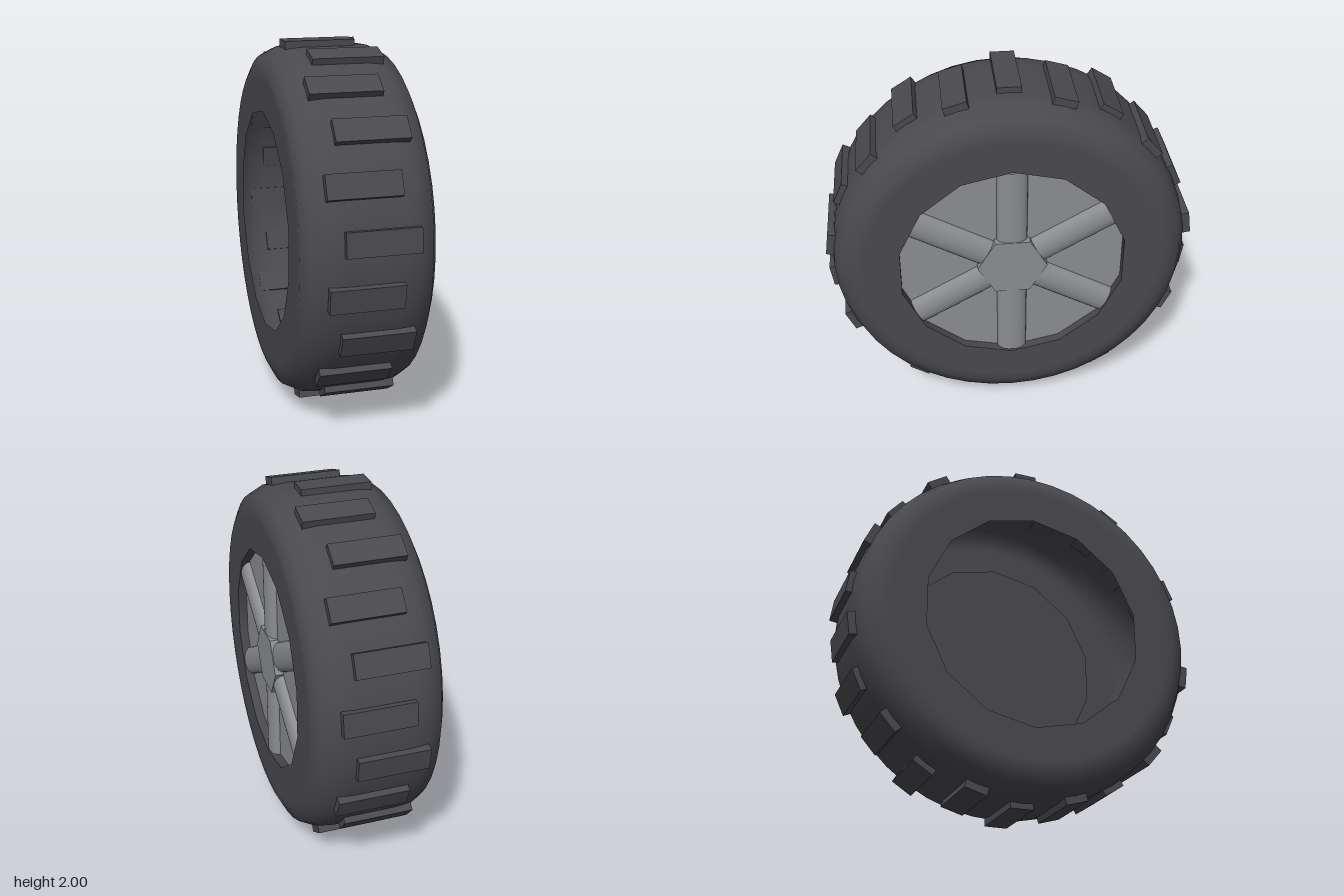
import * as THREE from 'three';

const rubber = new THREE.MeshStandardMaterial({ color: 0x4a494e, side: THREE.DoubleSide });
rubber.name = 'darkRubber';
const metal = new THREE.MeshStandardMaterial({ color: 0x8b8d91 });
metal.name = 'greyMetal';

const HALF = 0.35, HOLE = 0.62, SIDES = 14, SEGMENTS = 44, FACE = 0.3;

function ringPoints(radius, count) {
  return Array.from({ length: count }, (_, i) => {
    const a = (i / count) * Math.PI * 2 + Math.PI / 2;
    return new THREE.Vector2(radius * Math.cos(a), radius * Math.sin(a));
  });
}

export function createModel() {
  const wheel = new THREE.Group();
  wheel.name = 'wheel';
  const add = (name, geometry, material, parent = wheel) => {
    const mesh = new THREE.Mesh(geometry, material);
    mesh.name = name;
    mesh.position.y = 1;
    parent.add(mesh);
    return mesh;
  };

  // Hollow tyre shell with rounded shoulders
  const shoulder = [[0.8, 0.35], [0.85, 0.35], [0.92, 0.315], [0.96, 0.235], [0.97, 0.15]];
  const profile = [
    ...shoulder.map(([r, x]) => new THREE.Vector2(r, -x)),
    ...shoulder.slice().reverse().map(([r, x]) => new THREE.Vector2(r, x)),
  ];
  add('tyreShell', new THREE.LatheGeometry(profile, SEGMENTS).rotateZ(-Math.PI / 2), rubber);

  // Flat sidewalls with a polygonal opening
  for (const side of [1, -1]) {
    const wall = new THREE.Shape(ringPoints(0.8, SEGMENTS));
    wall.holes.push(new THREE.Path(ringPoints(HOLE, SIDES)));
    const geometry = new THREE.ShapeGeometry(wall).rotateY(side * Math.PI / 2);
    add(side > 0 ? 'leftSidewall' : 'rightSidewall', geometry.translate(side * HALF, 0, 0), rubber);
  }

  // Tread blocks, staggered to alternate sides
  const treads = new THREE.Group();
  treads.name = 'treads';
  wheel.add(treads);
  for (let i = 0; i < 22; i++) {
    const block = new THREE.BoxGeometry(0.385, 0.045, 0.128);
    block.translate(i % 2 ? 0.038 : -0.042, 0.9775, 0).rotateX((i / 22) * Math.PI * 2);
    add('treadBlock', block, rubber, treads);
  }

  // Recess edge and wheel disc, metal outside and dark behind
  const lip = new THREE.CylinderGeometry(HOLE, HOLE, HALF - FACE, SIDES, 1, true, Math.PI / 2);
  add('recessEdge', lip.rotateZ(-Math.PI / 2).translate((HALF + FACE) / 2, 0, 0), rubber);
  const disc = new THREE.CylinderGeometry(HOLE, HOLE, 0.02, SIDES, 1, false, Math.PI / 2);
  add('wheelDisc', disc.rotateZ(-Math.PI / 2).translate(FACE - 0.01, 0, 0), [rubber, metal, rubber]);

  // Six rounded spokes
  const spokes = new THREE.Group();
  spokes.name = 'spokes';
  wheel.add(spokes);
  for (let i = 0; i < 6; i++) {
    const spoke = new THREE.CylinderGeometry(0.082, 0.082, 0.46, 12, 1, true, 0, Math.PI);
    spoke.scale(0.55, 1, 1).translate(FACE, 0.38, 0).rotateX((i / 6) * Math.PI * 2);
    add('spoke', spoke, metal, spokes);
  }

  // Hexagonal hub
  const hub = new THREE.CylinderGeometry(0.19, 0.19, 0.047, 6).toNonIndexed();
  hub.rotateZ(-Math.PI / 2).translate(FACE + 0.0235, 0, 0).computeVertexNormals();
  add('hub', hub, metal);

  return wheel;
}
